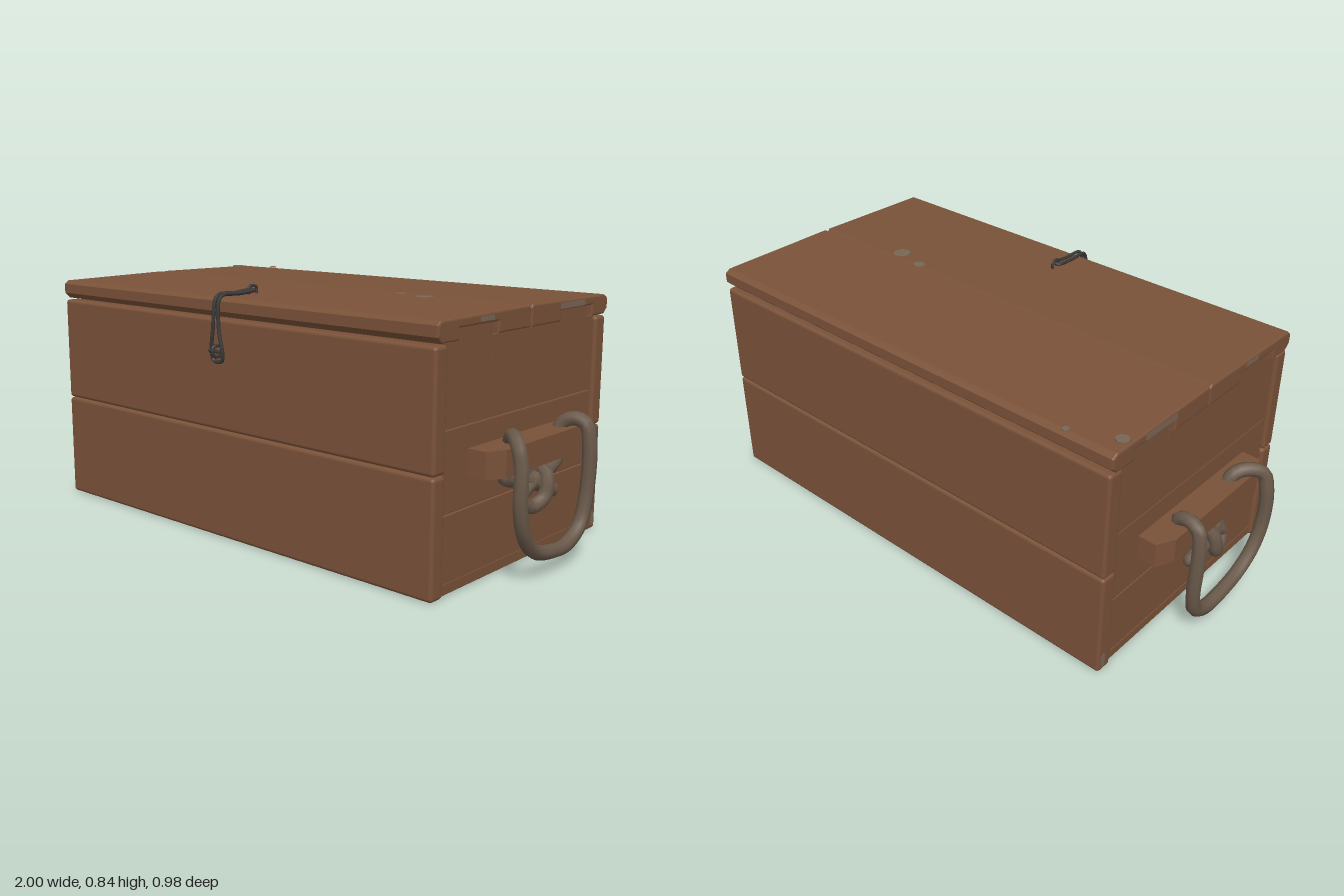
import * as THREE from 'three';
import { RoundedBoxGeometry } from 'three/addons/geometries/RoundedBoxGeometry.js';

const mat = (name, color) => Object.assign(new THREE.MeshStandardMaterial({ color }), { name });

export function createModel() {
  const wood = mat('wood', 0x7a5239);
  const rope = mat('rope', 0x6a594a);
  const metal = mat('dark metal', 0x3c3a38);
  const worn = mat('worn wood', 0x786654);
  const chest = new THREE.Group();
  chest.name = 'chest';

  const add = (parent, name, geo, material, x = 0, y = 0, z = 0) => {
    const m = new THREE.Mesh(geo, material);
    m.name = name;
    m.position.set(x, y, z);
    parent.add(m);
    return m;
  };
  const board = (name, x0, x1, y0, y1, z0, z1, r = 0.012) =>
    add(chest, name, new RoundedBoxGeometry(x1 - x0, y1 - y0, z1 - z0, 2, r), wood,
      (x0 + x1) / 2, (y0 + y1) / 2, (z0 + z1) / 2);

  // Extrudes a [z, y] outline along x, from x0 to x1, with a small bevel
  const extrudeX = (pts, x0, x1, bevel) => {
    const shape = new THREE.Shape(pts.map(([z, y]) => new THREE.Vector2(-z, y)));
    const geo = new THREE.ExtrudeGeometry(shape, {
      depth: x1 - x0 - 2 * bevel, bevelEnabled: bevel > 0, bevelSize: bevel,
      bevelThickness: bevel, bevelOffset: -bevel, bevelSegments: 2,
    });
    return geo.rotateY(Math.PI / 2).translate(x0 + bevel, 0, 0);
  };
  const tube = (pts, radius, closed = false, steps = pts.length * 4, sides = 8) =>
    new THREE.TubeGeometry(new THREE.CatmullRomCurve3(
      pts.map((p) => new THREE.Vector3(...p)), closed), steps, radius, sides, closed);

  // Long front and back boards
  for (const [side, z0, z1] of [['front', 0.393, 0.45], ['back', -0.49, -0.43]]) {
    board(side + 'LowerBoard', -0.85, 0.85, 0.005, 0.371, z0, z1);
    board(side + 'UpperBoard', -0.85, 0.85, 0.373, 0.74, z0, z1);
  }
  add(chest, 'bottomPanel', new THREE.BoxGeometry(1.68, 0.03, 0.84), wood, 0, 0.025, -0.02);

  // Lid boards, notched underneath for the end-panel tabs
  const lidFront = [[0.43, 0.746], [0.45, 0.765], [0.45, 0.798], [0.435, 0.81], [-0.01, 0.815],
    [-0.018, 0.805], [-0.018, 0.746], [0.155, 0.746], [0.155, 0.782], [0.35, 0.782], [0.35, 0.746]];
  const lidBack = [[-0.022, 0.746], [-0.022, 0.805], [-0.03, 0.815], [-0.47, 0.81], [-0.49, 0.798],
    [-0.49, 0.765], [-0.47, 0.746], [-0.39, 0.746], [-0.39, 0.782], [-0.195, 0.782], [-0.195, 0.746]];
  add(chest, 'lidFrontBoard', extrudeX(lidFront, -0.855, 0.855, 0.006), wood);
  add(chest, 'lidBackBoard', extrudeX(lidBack, -0.855, 0.855, 0.006), wood);

  // Upper end board with two tabs and a narrow split beside each
  const tabBoard = [[0.392, 0.497], [0.392, 0.742], [0.345, 0.742], [0.345, 0.779], [0.16, 0.779],
    [0.158, 0.58], [0.154, 0.742], [-0.194, 0.742], [-0.198, 0.58], [-0.2, 0.779],
    [-0.385, 0.779], [-0.385, 0.742], [-0.428, 0.742], [-0.428, 0.497]];
  // Cleat outline in plan, as [-z, x]
  const cleatPlan = [[-0.27, 0.83], [-0.27, 0.9], [-0.21, 0.93], [0.25, 0.93], [0.31, 0.9], [0.31, 0.83]];

  // Handle rope from the knot tail, over the cleat, round the loop and back into the knot
  const ropePath = [
    [0.9, 0.235, -0.1], [0.905, 0.27, -0.02], [0.89, 0.298, 0.06], [0.88, 0.32, 0.14],
    [0.88, 0.38, 0.11], [0.885, 0.43, 0.12], [0.91, 0.452, 0.15], [0.955, 0.44, 0.193],
    [0.974, 0.38, 0.2], [0.976, 0.25, 0.2], [0.972, 0.16, 0.165], [0.966, 0.1, 0.1],
    [0.964, 0.073, 0], [0.964, 0.073, -0.09], [0.967, 0.115, -0.16], [0.972, 0.2, -0.188],
    [0.976, 0.38, -0.19], [0.962, 0.44, -0.187], [0.92, 0.452, -0.18], [0.885, 0.43, -0.17],
    [0.88, 0.38, -0.16], [0.88, 0.325, -0.155], [0.89, 0.305, -0.1], [0.9, 0.29, 0],
    [0.9, 0.25, 0.075], [0.912, 0.212, 0.04], [0.93, 0.235, -0.005], [0.93, 0.29, -0.02],
    [0.912, 0.32, -0.025], [0.88, 0.3, -0.03],
  ];

  // Both ends, mirrored
  for (const [name, s] of [['left', 1], ['right', -1]]) {
    const end = new THREE.Group();
    end.name = name + 'End';
    end.scale.x = s;
    chest.add(end);
    add(end, 'lowerEndBoard', new RoundedBoxGeometry(0.05, 0.241, 0.82, 1, 0.004), wood, 0.812, 0.1255, -0.018);
    add(end, 'middleEndBoard', new RoundedBoxGeometry(0.05, 0.247, 0.82, 1, 0.004), wood, 0.812, 0.3715, -0.018);
    add(end, 'tabbedEndBoard', extrudeX(tabBoard, 0.787, 0.837, 0), wood);

    const plan = new THREE.Shape(cleatPlan.map((p) => new THREE.Vector2(p[1], p[0])));
    const cleat = new THREE.ExtrudeGeometry(plan, { depth: 0.084, bevelEnabled: false });
    add(end, 'cleat', cleat.rotateX(-Math.PI / 2), wood, 0, 0.34, 0);

    add(end, 'ropeHandle', tube(ropePath, 0.0235, false, 120), rope);
    add(end, 'ropeTailEnd', new THREE.SphereGeometry(0.0235, 8, 6), rope, 0.9, 0.235, -0.1);

    // Worn edge patches
    add(end, 'wornLidPatchFront', new THREE.BoxGeometry(0.004, 0.014, 0.07), worn, 0.854, 0.797, 0.215);
    add(end, 'wornLidPatchBack', new THREE.BoxGeometry(0.004, 0.018, 0.15), worn, 0.854, 0.795, -0.265);
    add(end, 'wornBoardCorner', new THREE.BoxGeometry(0.004, 0.05, 0.02), worn, 0.8485, 0.045, -0.468);
  }

  // Worn spots on the lid
  for (const [x, z, r] of [[0.485, 0.022, 0.032], [0.37, -0.005, 0.022], [-0.825, -0.41, 0.022], [-0.68, -0.475, 0.012]])
    add(chest, 'wornLidSpot', new THREE.CylinderGeometry(r, r, 0.004, 8), worn, x, 0.8135, z);

  // Wire hasp: narrow on the lid, widening into a drop-shaped loop on the front
  const half = [[0.01, 0.824, 0.31], [0.012, 0.819, 0.38], [0.01, 0.819, 0.45], [0.009, 0.806, 0.466],
    [0.014, 0.71, 0.474], [0.026, 0.635, 0.471], [0.019, 0.608, 0.468]];
  const mirrored = half.map(([x, y, z]) => [-x, y, z]).reverse();
  const hasp = new THREE.Group();
  hasp.name = 'hasp';
  chest.add(hasp);
  add(hasp, 'haspWire', tube([...half, ...mirrored], 0.0065, true, 72, 6), metal);
  add(hasp, 'lidStaple', tube([[0, 0.805, 0.292], [0, 0.834, 0.292], [0, 0.836, 0.322], [0, 0.805, 0.326]],
    0.005, false, 16, 6), metal);
  add(hasp, 'frontStaple', tube([[0, 0.655, 0.44], [0, 0.655, 0.485], [0, 0.625, 0.485], [0, 0.625, 0.44]],
    0.006, false, 16, 6), metal);
  const pin = add(hasp, 'haspPin', new THREE.CylinderGeometry(0.006, 0.006, 0.056, 6), metal, 0, 0.64, 0.478);
  pin.rotation.z = Math.PI / 2;

  return chest;
}
